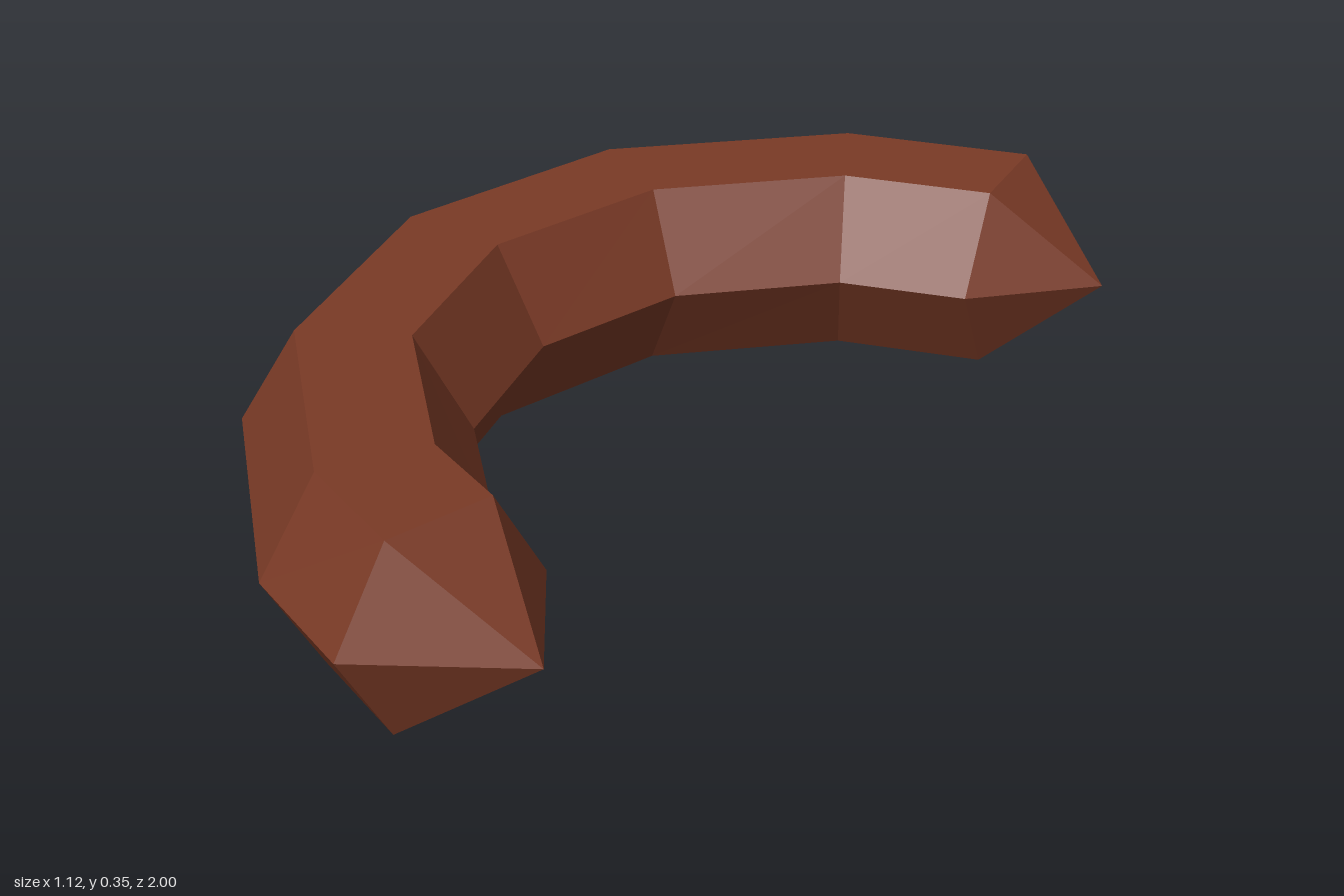
import * as THREE from 'three';

const HEIGHT = 0.355;

// Stations along the crescent: outer x, z and inner x, z
const STATIONS = [
  [0.32, -1.0, 0.375, -0.605],
  [-0.05, -0.875, 0.148, -0.527],
  [-0.425, -0.505, -0.075, -0.3],
  [-0.56, 0.005, -0.157, 0.005],
  [-0.425, 0.52, -0.075, 0.315],
  [-0.05, 0.895, 0.148, 0.543],
  [0.19, 0.997, 0.295, 0.603],
];
const BACK_TIP = [0.56, HEIGHT / 2, -0.803];
const FRONT_TIP = [0.455, HEIGHT / 2, 0.825];

// Hexagon section: [fraction from outer to inner edge, height fraction]
const HEXAGON = [[0, 0.5], [0.25, 1], [0.75, 1], [1, 0.5], [0.75, 0], [0.25, 0]];

function ring([ox, oz, ix, iz]) {
  return HEXAGON.map(([t, h]) => [ox + (ix - ox) * t, h * HEIGHT, oz + (iz - oz) * t]);
}

function flatMesh(name, triangles, material) {
  const geometry = new THREE.BufferGeometry();
  geometry.setAttribute('position', new THREE.Float32BufferAttribute(triangles.flat(2), 3));
  geometry.computeVertexNormals();
  const mesh = new THREE.Mesh(geometry, material);
  mesh.name = name;
  return mesh;
}

export function createModel() {
  const brown = new THREE.MeshStandardMaterial({ color: 0x7a3a26 });
  brown.name = 'sausage brown';

  const rings = STATIONS.map(ring);
  const last = rings.length - 1;
  const body = [], backEnd = [], frontEnd = [];
  for (let i = 0; i < 6; i++) {
    const j = (i + 1) % 6;
    // Sides of the curved body
    for (let k = 0; k < last; k++) {
      const a = rings[k], b = rings[k + 1];
      body.push([a[i], b[i], b[j]], [a[i], b[j], a[j]]);
    }
    // Pointed ends
    backEnd.push([BACK_TIP, rings[0][i], rings[0][j]]);
    frontEnd.push([FRONT_TIP, rings[last][j], rings[last][i]]);
  }

  const model = new THREE.Group();
  model.name = 'curvedSausage';
  model.add(
    flatMesh('curvedBody', body, brown),
    flatMesh('backEnd', backEnd, brown),
    flatMesh('frontEnd', frontEnd, brown),
  );
  return model;
}
